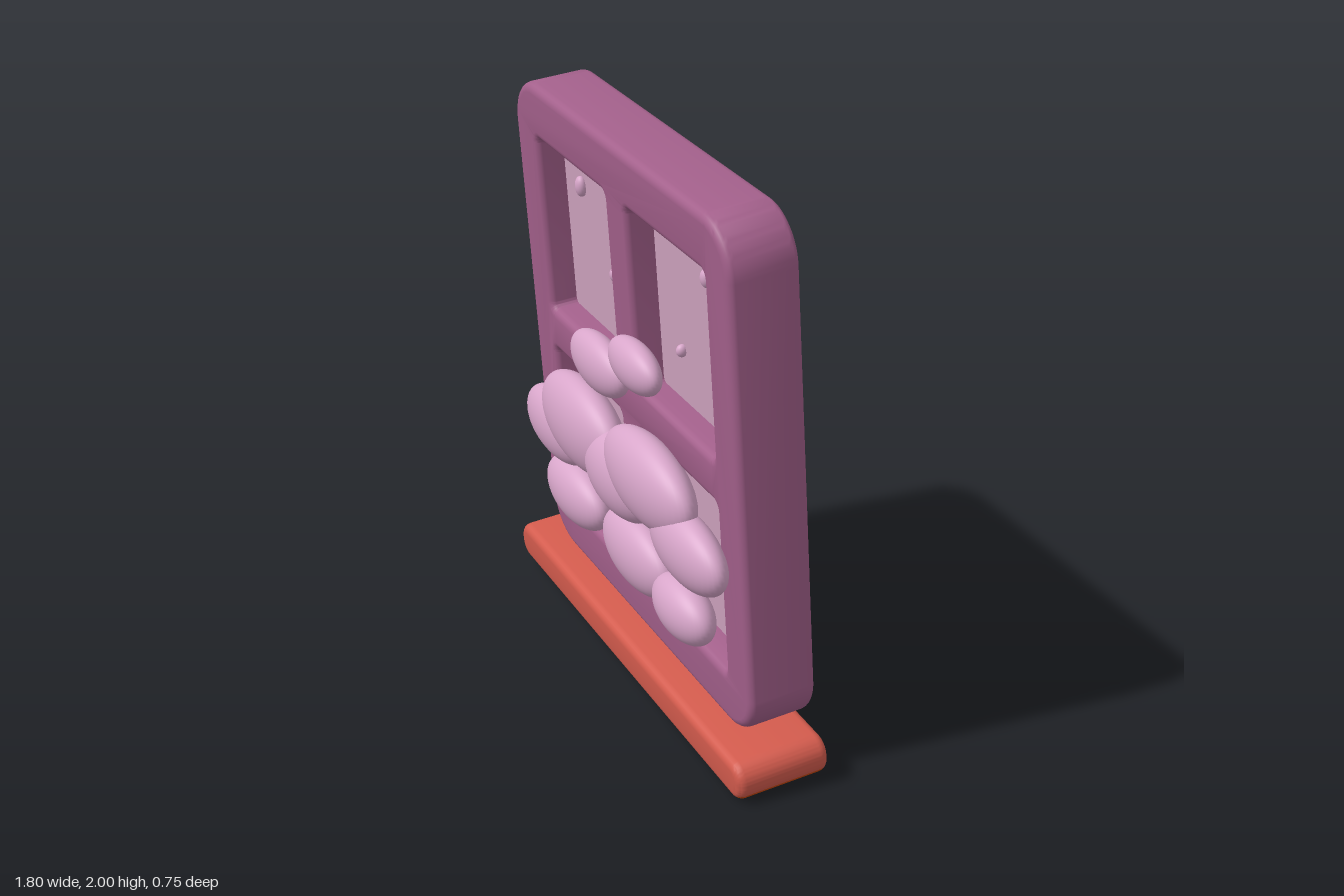
import * as THREE from 'three';
import { toCreasedNormals } from 'three/addons/utils/BufferGeometryUtils.js';

const mat = (name, color) => {
  const m = new THREE.MeshStandardMaterial({ color });
  m.name = name;
  return m;
};

// Rounded rectangle outline, centred on (cx, cy)
function roundRect(path, cx, cy, w, h, r) {
  const x = w / 2 - r, y = h / 2 - r;
  path.absarc(cx + x, cy + y, r, 0, Math.PI / 2);
  path.absarc(cx - x, cy + y, r, Math.PI / 2, Math.PI);
  path.absarc(cx - x, cy - y, r, Math.PI, Math.PI * 1.5);
  path.absarc(cx + x, cy - y, r, Math.PI * 1.5, Math.PI * 2);
  path.closePath();
  return path;
}

// Bevelled slab of full size w x h x d, with optional holes
function slab(w, h, d, r, bevel, holes = []) {
  const shape = roundRect(new THREE.Shape(), 0, 0, w - 2 * bevel, h - 2 * bevel, r - bevel);
  shape.holes.push(...holes);
  const geo = new THREE.ExtrudeGeometry(shape, {
    depth: d - 2 * bevel, bevelThickness: bevel, bevelSize: bevel, bevelSegments: 5, curveSegments: 8,
  });
  geo.translate(0, 0, -d / 2 + bevel);
  return toCreasedNormals(geo, 0.6);
}

// Sorts triangles into two groups: 0 for the body, 1 for faces pointing down
function splitUnderside(source, limit) {
  const geo = source.index ? source.toNonIndexed() : source;
  const pos = geo.attributes.position, nor = geo.attributes.normal;
  const lists = [[], []];
  for (let i = 0; i < pos.count; i += 3) {
    const ny = (nor.getY(i) + nor.getY(i + 1) + nor.getY(i + 2)) / 3;
    lists[ny < limit ? 1 : 0].push(i, i + 1, i + 2);
  }
  geo.clearGroups();
  geo.setIndex([...lists[0], ...lists[1]]);
  geo.addGroup(0, lists[0].length, 0);
  geo.addGroup(lists[0].length, lists[1].length, 1);
  return geo;
}

export function createModel() {
  const plum = mat('plum frame', 0xa3608b);
  const glass = mat('pale pink glass', 0xcfa3bf);
  const pink = mat('pink puff', 0xd8a6ca);
  const magenta = mat('puff underside', 0xa84a80);
  const red = mat('red sill', 0xd35b4d);
  const orange = mat('sill underside', 0xcc4a0e);

  // Everything sits in one group that is turned and leans forward
  const body = new THREE.Group();
  body.name = 'window';
  body.position.set(0.01, 1.068, 0.013);
  body.rotation.set(0.08, -0.245, 0);

  const add = (name, geo, material, x = 0, y = 0, z = 0) => {
    const mesh = new THREE.Mesh(geo, material);
    mesh.name = name;
    mesh.position.set(x, y, z);
    body.add(mesh);
    return mesh;
  };

  // Frame with four openings, a pane in each
  const bevel = 0.03, px = 0.35, py = 0.398, pw = 0.54, ph = 0.635;
  const holes = [];
  for (const sx of [-1, 1]) {
    for (const sy of [-1, 1]) {
      holes.push(roundRect(new THREE.Path(), sx * px, sy * py, pw + 2 * bevel, ph + 2 * bevel, 0.05));
      add('pane', new THREE.BoxGeometry(pw + 0.03, ph + 0.03, 0.045), glass, sx * px, sy * py, 0);
    }
  }
  add('frame', slab(1.59, 1.82, 0.24, 0.17, bevel, holes), plum);

  // Sill
  add('sill', splitUnderside(slab(1.79, 0.14, 0.33, 0.065, 0.03), -0.5), [red, orange], 0, -0.972, 0.06);

  // Puffs over the front: x, y, and the three radii
  const puffs = [
    [-0.29, -0.21, 0.29, 0.165, 0.095],
    [0.24, -0.17, 0.295, 0.155, 0.095],
    [-0.515, -0.32, 0.235, 0.125, 0.08],
    [0.02, -0.26, 0.235, 0.145, 0.095],
    [0.505, -0.29, 0.235, 0.125, 0.08],
    [-0.395, -0.54, 0.215, 0.115, 0.08],
    [0.105, -0.52, 0.235, 0.13, 0.08],
    [0.44, -0.555, 0.175, 0.105, 0.08],
    [-0.1, 0.11, 0.19, 0.1, 0.065],
    [0.19, 0.23, 0.16, 0.085, 0.06],
  ];
  for (const [x, y, rx, ry, rz] of puffs) {
    const geo = new THREE.SphereGeometry(1, 40, 28).scale(rx, ry, rz);
    add('puff', splitUnderside(geo, -0.985), [pink, magenta], x, y, 0.17);
  }

  // Droplets on the upper panes
  const drops = [[-0.475, 0.575, 0.025, 0.037], [-0.24, 0.34, 0.02, 0.027],
    [0.46, 0.61, 0.023, 0.032], [0.25, 0.27, 0.017, 0.022]];
  for (const [x, y, rx, ry] of drops) {
    add('droplet', new THREE.SphereGeometry(1, 20, 14).scale(rx, ry, 0.02), pink, x, y, 0.03);
  }

  const model = new THREE.Group();
  model.name = 'puffyWindow';
  model.add(body);
  return model;
}
